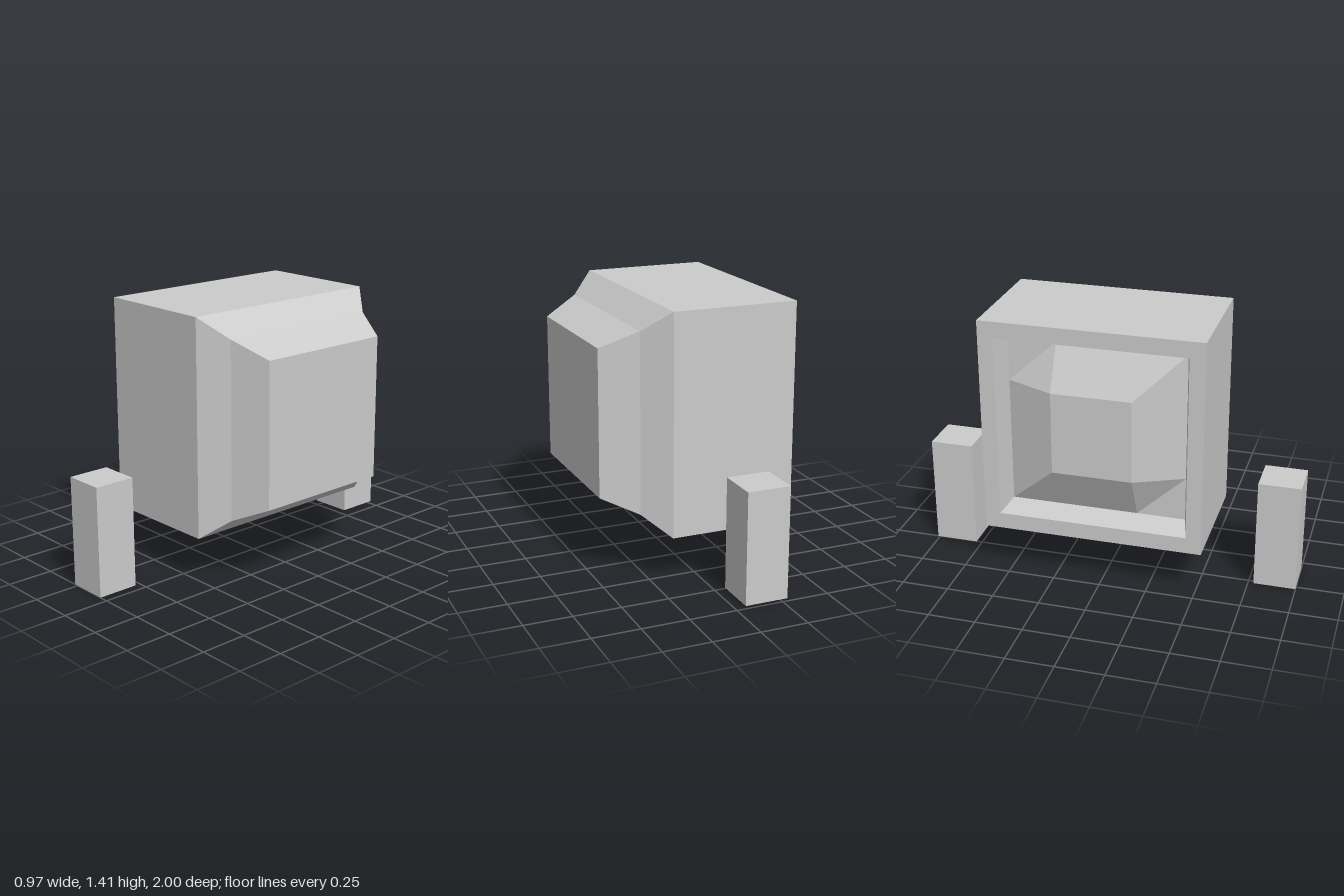
import * as THREE from 'three';

const material = new THREE.MeshStandardMaterial({ color: 0xcccccc, flatShading: true });
const CY = 0.833, CZ = -0.042; // axis of the television, which faces -x

function addMesh(parent, name, geometry, x = 0, y = 0, z = 0) {
  const mesh = new THREE.Mesh(geometry, material);
  mesh.name = name;
  mesh.position.set(x, y, z);
  parent.add(mesh);
  return mesh;
}

// Skin a series of rectangles [x, halfHeight, halfDepth] and cap the last one
function rectangleLoft(rings) {
  const positions = [], index = [];
  const corners = [[1, 1], [1, -1], [-1, -1], [-1, 1]];
  for (const [x, h, d] of rings)
    for (const [sy, sz] of corners) positions.push(x, sy * h, sz * d);
  for (let r = 0; r < rings.length - 1; r++) {
    for (let i = 0; i < 4; i++) {
      const a = r * 4 + i, b = r * 4 + (i + 1) % 4;
      index.push(a, a + 4, b, b, a + 4, b + 4);
    }
  }
  const e = (rings.length - 1) * 4;
  index.push(e, e + 3, e + 2, e, e + 2, e + 1);
  const geometry = new THREE.BufferGeometry();
  geometry.setAttribute('position', new THREE.Float32BufferAttribute(positions, 3));
  geometry.setIndex(index);
  const flat = geometry.toNonIndexed();
  flat.computeVertexNormals();
  return flat;
}

// Bulging screen: a 3 x 3 patch whose middle facet is raised
function screenGeometry(width, height, bulge) {
  const geometry = new THREE.PlaneGeometry(width, height, 3, 3);
  const p = geometry.attributes.position;
  for (let i = 0; i < p.count; i++) {
    const x = p.getX(i), y = p.getY(i);
    const innerX = Math.abs(x) < width * 0.4, innerY = Math.abs(y) < height * 0.4;
    if (innerX) p.setX(i, Math.sign(x) * 0.21);
    if (innerY) p.setY(i, Math.sign(y) * 0.22);
    if (innerX && innerY) p.setZ(i, bulge);
  }
  geometry.rotateY(-Math.PI / 2);
  const flat = geometry.toNonIndexed();
  flat.computeVertexNormals();
  return flat;
}

export function createModel() {
  const model = new THREE.Group();
  model.name = 'televisionWithSpeakers';

  const television = new THREE.Group();
  television.name = 'television';
  television.position.set(0, CY, CZ);
  model.add(television);

  // Recess, bezel, case and stepped rear housing in one continuous skin
  addMesh(television, 'case', rectangleLoft([
    [-0.36, 0.455, 0.465],
    [-0.488, 0.49, 0.497],
    [-0.488, 0.576, 0.578],
    [0.17, 0.576, 0.578],
    [0.30, 0.47, 0.468],
    [0.486, 0.384, 0.383],
  ]));
  addMesh(television, 'screen', screenGeometry(0.93, 0.91, 0.115), -0.36);

  // Free-standing speakers on either side
  addMesh(model, 'frontSpeaker', new THREE.BoxGeometry(0.22, 0.588, 0.222), -0.161, 0.294, 0.889);
  addMesh(model, 'backSpeaker', new THREE.BoxGeometry(0.228, 0.585, 0.228), -0.161, 0.307, -0.886);

  return model;
}
